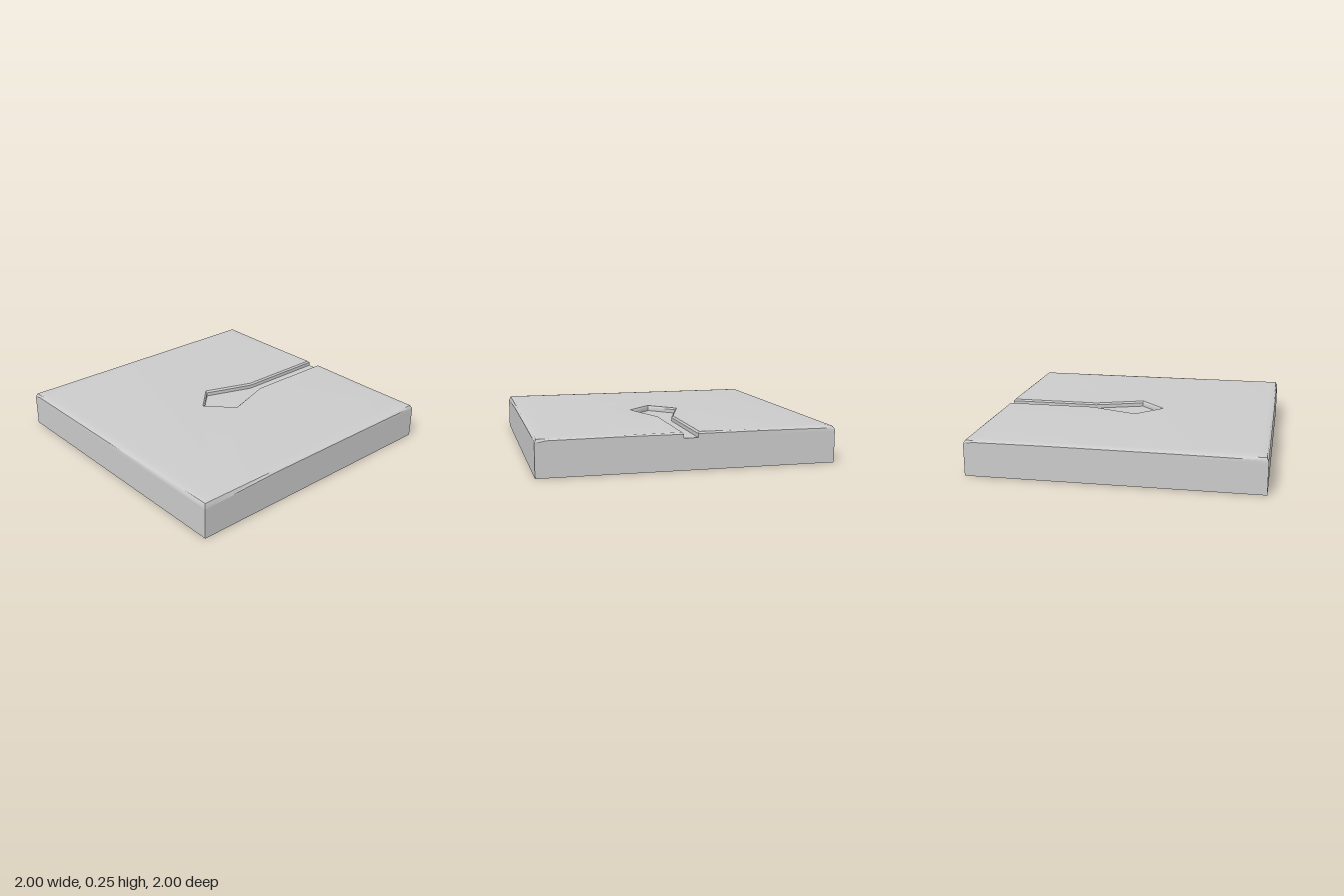
import * as THREE from 'three';
import { toCreasedNormals } from 'three/addons/utils/BufferGeometryUtils.js';

const FLOOR = 0.212; // height of the channel floor
const TOP = 0.25;

// Outer edge, anticlockwise from above: x, z, height of the worn rim
const EDGE = [
  [1, -0.5, 0.239], [1, -0.93, 0.236], [1, -1, 0.226],
  [0.93, -1, 0.236], [0.45, -1, 0.239], [-0.4, -1, 0.237], [-0.93, -1, 0.233], [-1, -1, 0.224],
  [-1, -0.93, 0.234], [-1, 0, 0.238], [-1, 0.93, 0.225], [-1, 1, 0.213],
  [-0.93, 1, 0.217], [-0.4, 1, 0.235], [0.38, 1, 0.236], [0.93, 1, 0.234], [1, 1, 0.222],
  [1, 0.93, 0.236], [1, 0.5, 0.239],
];

// Channel corners at the foot (x, z) and at the chamfered lip (x, z)
const HALF = [[1, 0.048, 1, 0.058], [0.342, 0.048, 0.345, 0.058], [0, 0.166, 0, 0.18]];
const CHANNEL = [
  ...HALF,
  [-0.169, 0, -0.181, 0],
  ...HALF.slice().reverse().map(([a, b, c, d]) => [a, -b, c, -d]),
];

// One loop round the paving surface: rim inset, channel lip on/off, heights
function ring(inset, lip, edgeY, channelY) {
  const s = 1 - inset;
  const edge = EDGE.map(([x, z, h]) => [x * s, edgeY ?? h, z * s]);
  const channel = CHANNEL.map((c) => [Math.min(c[lip * 2], s), channelY, c[lip * 2 + 1]]);
  // the mouth of the channel follows the rim
  return [...edge, ...channel];
}

function surfaceGeometry() {
  const rings = [
    ring(0, 0, FLOOR, FLOOR),
    ring(0, 0, undefined, 0.238),
    ring(0.012, 1, 0.246, TOP),
    ring(0.05, 1, TOP, TOP),
  ];
  const n = rings[0].length;
  const index = [];
  for (let r = 0; r < rings.length - 1; r++) {
    for (let i = 0; i < n; i++) {
      const j = (i + 1) % n;
      // the channel lip does not move between the last two loops
      if (r === 2 && i >= EDGE.length && i < n - 1) {
        if (i === EDGE.length || i === n - 2) {
          const m = i === EDGE.length ? i : j;
          const o = i === EDGE.length ? j : i;
          if (rings[2][m][0] === rings[3][m][0]) index.push(r * n + m, r * n + o, (r + 1) * n + m);
        }
        continue;
      }
      const a = r * n + i, b = r * n + j, c = b + n, d = a + n;
      index.push(a, b, c, a, c, d);
    }
  }
  // flat top
  const last = (rings.length - 1) * n;
  const contour = rings[rings.length - 1].map(([x, , z]) => new THREE.Vector2(x, -z));
  for (const face of THREE.ShapeUtils.triangulateShape(contour, [])) {
    index.push(...face.map((k) => last + k));
  }
  const geometry = new THREE.BufferGeometry();
  geometry.setAttribute('position', new THREE.Float32BufferAttribute(rings.flat(2), 3));
  geometry.setIndex(index);
  return toCreasedNormals(geometry, 0.66);
}

export function createModel() {
  const group = new THREE.Group();
  group.name = 'floorTile';
  const material = new THREE.MeshStandardMaterial({ color: 0xcccccc });

  // Solid base, whose top is the channel floor
  const base = new THREE.Mesh(new THREE.BoxGeometry(2, FLOOR, 2), material);
  base.name = 'baseSlab';
  base.position.y = FLOOR / 2;

  // Worn top layer with the arrow-shaped channel
  const surface = new THREE.Mesh(surfaceGeometry(), material);
  surface.name = 'channelledSurface';

  group.add(base, surface);
  return group;
}
